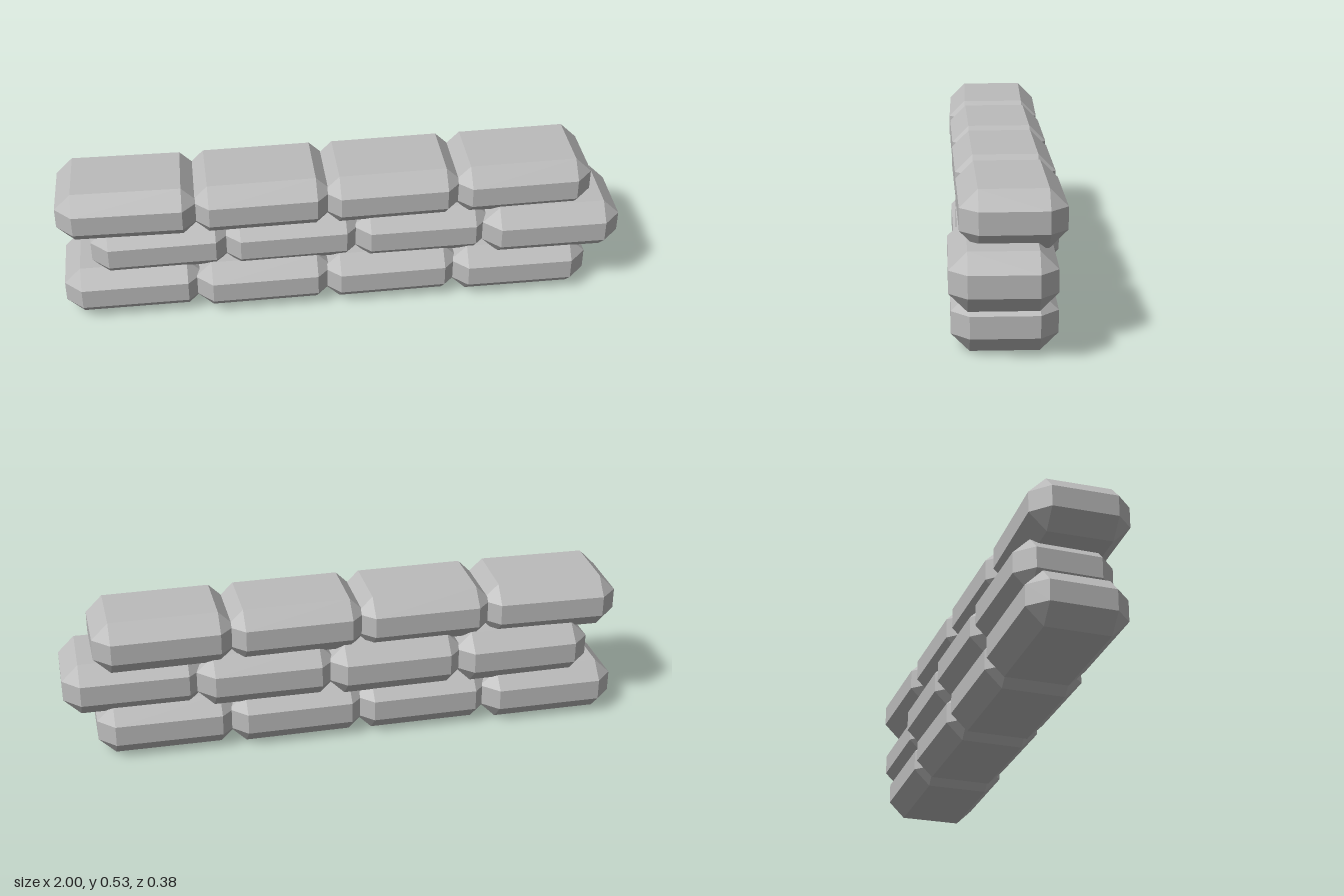
import * as THREE from 'three';
import { ConvexGeometry } from 'three/addons/geometries/ConvexGeometry.js';

// Box with every edge cut by one flat bevel
function bevelledBlock(length, height, depth, bevel) {
  const points = [];
  const half = [length / 2, height / 2, depth / 2];
  for (const sx of [-1, 1]) for (const sy of [-1, 1]) for (const sz of [-1, 1]) {
    for (let axis = 0; axis < 3; axis++) {
      const p = half.map((h, i) => (i === axis ? h : h - bevel));
      points.push(new THREE.Vector3(p[0] * sx, p[1] * sy, p[2] * sz));
    }
  }
  return new ConvexGeometry(points);
}

export function createModel() {
  const wall = new THREE.Group();
  wall.name = 'brickWall';
  const stone = new THREE.MeshStandardMaterial({ color: 0xbbbbbb, flatShading: true });
  stone.name = 'grey stone';

  const height = 0.192;
  const block = bevelledBlock(0.496, height, 0.34, 0.059);

  // Staggered courses: each brick is [x, z, turn in degrees]
  const courses = [
    { name: 'bottomCourse', bricks: [[-0.75, -0.012, 0.5], [-0.285, 0.004, 0.8], [0.175, 0.005, 1], [0.64, 0.015, 0.3]] },
    { name: 'middleCourse', bricks: [[-0.645, -0.018, 1], [-0.18, -0.017, 1], [0.285, -0.008, 0.5], [0.75, 0.022, 0.3]] },
    { name: 'topCourse', bricks: [[-0.75, 0.008, -0.8], [-0.285, 0.005, 1], [0.175, -0.001, 1.2], [0.64, -0.01, 1.2]] },
  ];

  courses.forEach(({ name, bricks }, row) => {
    const course = new THREE.Group();
    course.name = name;
    course.position.y = height / 2 + row * 0.1675;
    bricks.forEach(([x, z, turn], i) => {
      const brick = new THREE.Mesh(block, stone);
      brick.name = `brick${i + 1}`;
      brick.position.set(x, 0, z);
      brick.rotation.y = THREE.MathUtils.degToRad(turn);
      course.add(brick);
    });
    wall.add(course);
  });
  return wall;
}
